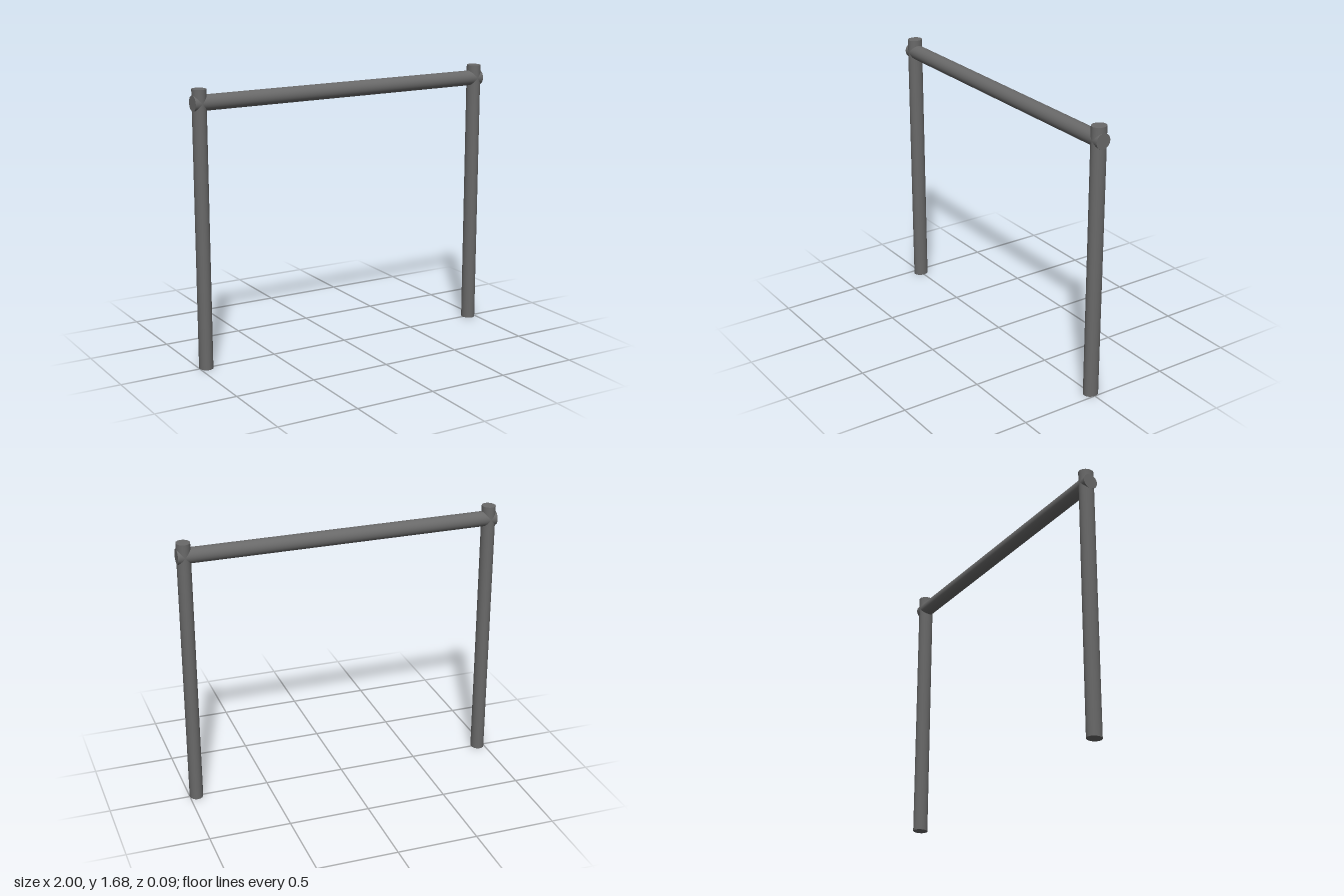
import * as THREE from 'three';

export function createModel() {
  const group = new THREE.Group();
  const greyMetal = new THREE.MeshStandardMaterial({ color: 0x696969 });
  greyMetal.name = 'grey metal';

  const radius = 0.047;       // depth radius shared by posts and beam
  const postHalfWidth = 0.042; // posts are slightly narrower across x
  const postHeight = 1.685;

  // Two upright posts, mirrored
  const postGeometry = new THREE.CylinderGeometry(radius, radius, postHeight, 32);
  postGeometry.scale(postHalfWidth / radius, 1, 1);
  for (const [name, side] of [['leftPost', 1], ['rightPost', -1]]) {
    const post = new THREE.Mesh(postGeometry, greyMetal);
    post.name = name;
    post.position.set(side * (1 - postHalfWidth), postHeight / 2, 0);
    group.add(post);
  }

  // Horizontal beam running through both posts
  const beamGeometry = new THREE.CylinderGeometry(radius, radius, 2, 32);
  beamGeometry.rotateZ(Math.PI / 2);
  const beam = new THREE.Mesh(beamGeometry, greyMetal);
  beam.name = 'crossBeam';
  beam.position.y = 1.603;
  group.add(beam);

  return group;
}
